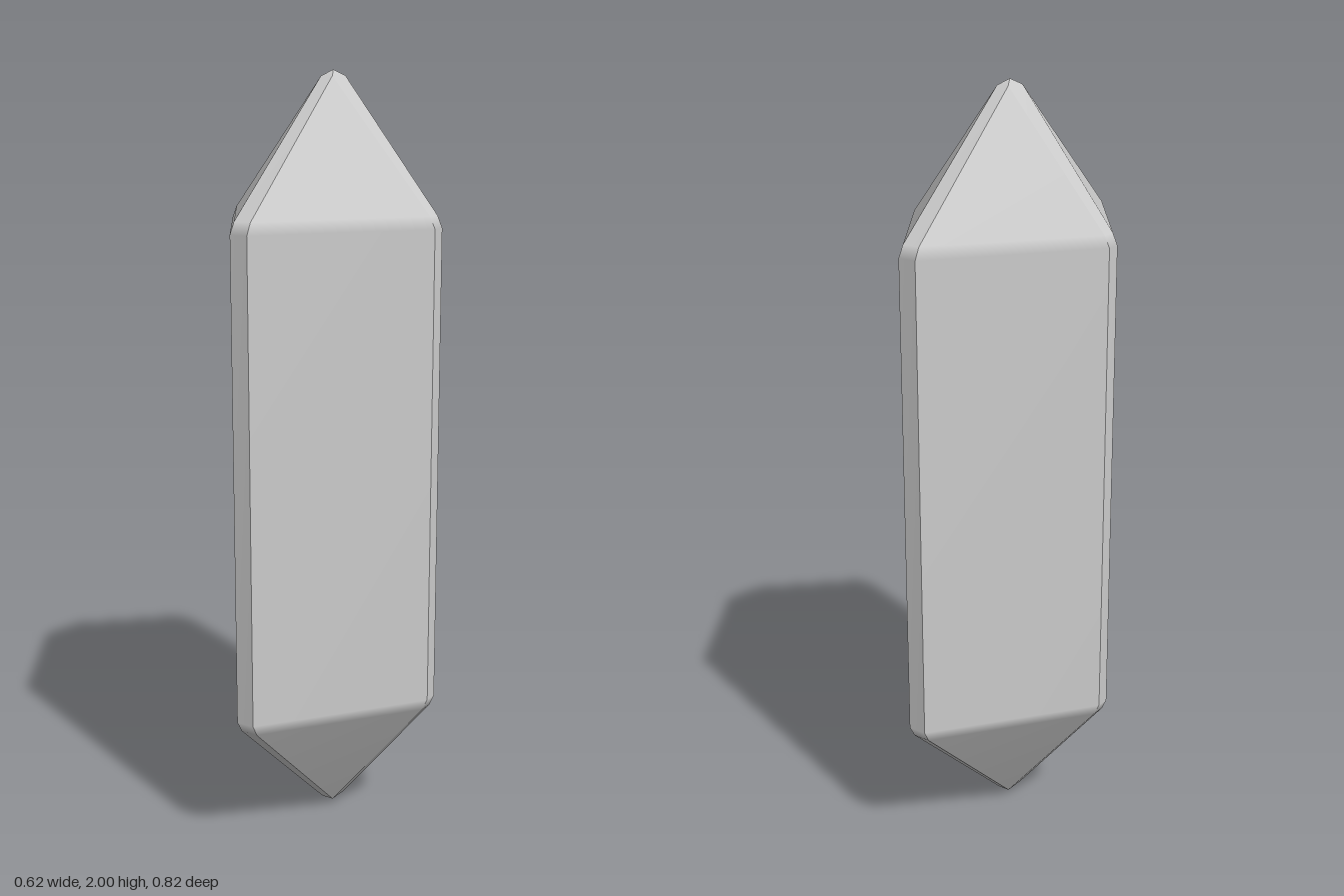
import * as THREE from 'three';

// Octagonal cross-sections: [y, sideX, sideHalfWidth, frontZ, frontHalfWidth]
const RINGS = [
  [0, 0, 0, 0, 0],
  [0.015, 0.017, 0.03, 0.03, 0.017],
  [0.35, 0.296, 0.019, 0.392, 0.024],
  [0.38, 0.31, 0.018, 0.409, 0.025],
  [1.62, 0.31, 0.018, 0.406, 0.025],
  [1.65, 0.296, 0.019, 0.39, 0.024],
  [1.985, 0.017, 0.03, 0.03, 0.017],
  [2, 0, 0, 0, 0],
];

// Eight corners, running counter-clockwise as seen from above
function corners([y, sx, sw, fz, fw]) {
  return [[fw, fz], [sx, sw], [sx, -sw], [fw, -fz], [-fw, -fz], [-sx, -sw], [-sx, sw], [-fw, fz]]
    .map(([x, z]) => new THREE.Vector3(x, y, z));
}

// One lengthwise strip from tip to tip, smooth along its length
function panel(k, material) {
  const points = [];
  const index = [];
  for (const ring of RINGS) {
    const c = corners(ring);
    points.push(c[k], c[(k + 1) % 8]);
  }
  const addTriangle = (...t) => {
    const tri = new THREE.Triangle(...t.map((i) => points[i]));
    if (tri.getArea() > 1e-8) index.push(...t);
  };
  for (let i = 0; i < RINGS.length - 1; i++) {
    const a = i * 2;
    addTriangle(a, a + 1, a + 3);
    addTriangle(a, a + 3, a + 2);
  }
  const geometry = new THREE.BufferGeometry().setFromPoints(points);
  geometry.setIndex(index);
  geometry.computeVertexNormals();
  return new THREE.Mesh(geometry, material);
}

export function createModel() {
  const model = new THREE.Group();
  model.name = 'crystal';
  const material = new THREE.MeshStandardMaterial({ color: 0xcccccc });
  // Broad facets alternate with narrow bevelled edges
  const names = ['facetFrontLeft', 'edgeLeft', 'facetBackLeft', 'edgeBack',
    'facetBackRight', 'edgeRight', 'facetFrontRight', 'edgeFront'];
  names.forEach((name, k) => {
    const mesh = panel(k, material);
    mesh.name = name;
    model.add(mesh);
  });
  return model;
}
